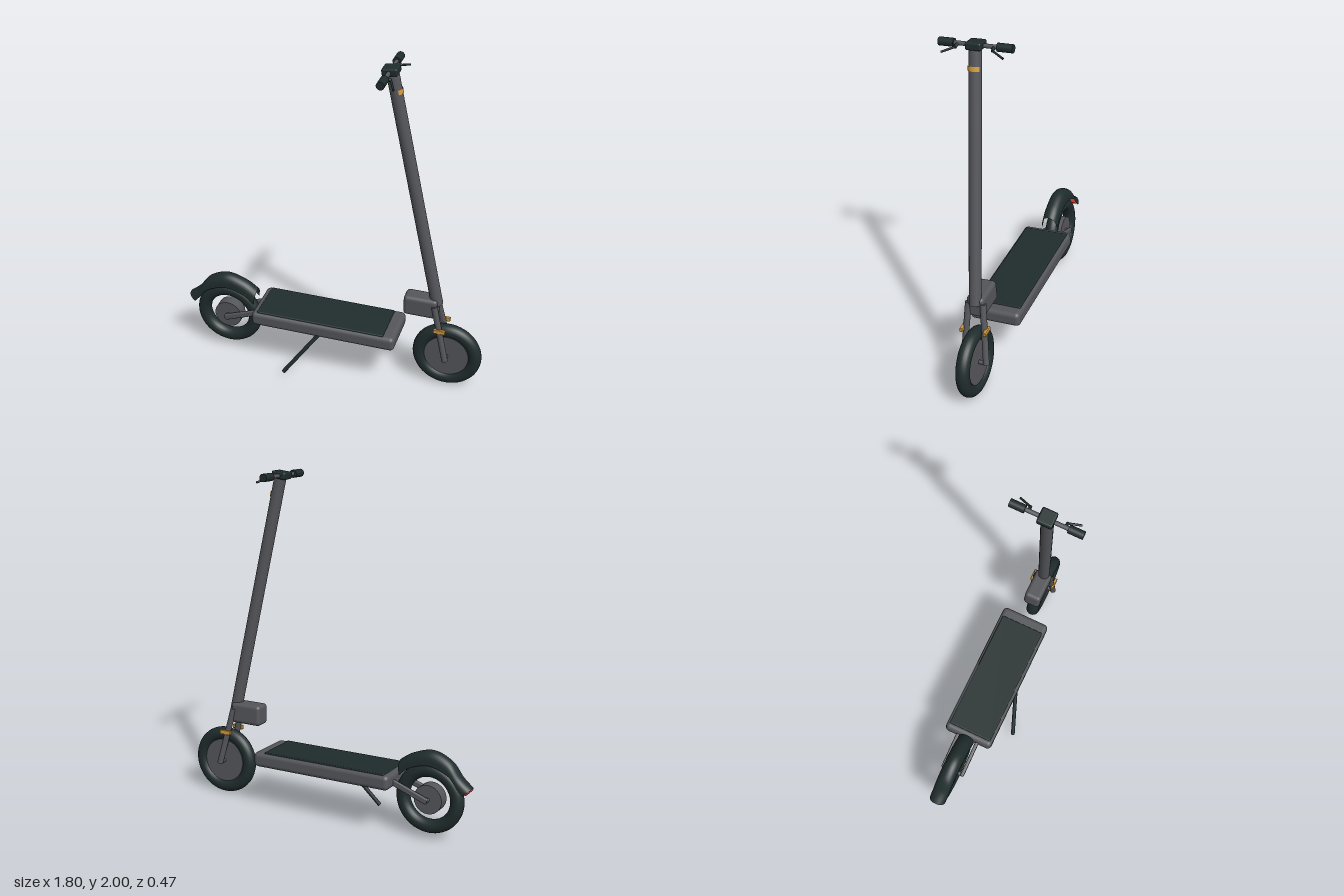
import * as THREE from 'three';
import { RoundedBoxGeometry } from 'three/addons/geometries/RoundedBoxGeometry.js';

const paint = (name, color, side = THREE.FrontSide) => {
  const m = new THREE.MeshStandardMaterial({ color, side });
  m.name = name;
  return m;
};

export function createModel() {
  const grey = paint('frameGrey', 0x55565a);
  const black = paint('rubberBlack', 0x202c2c, THREE.DoubleSide);
  const gold = paint('reflectorGold', 0xd29a3c, THREE.DoubleSide);
  const red = paint('tailLightRed', 0xc8241c);

  const scooter = new THREE.Group();
  scooter.name = 'scooter';

  const add = (name, geometry, material, x = 0, y = 0, z = 0, parent = scooter) => {
    const mesh = new THREE.Mesh(geometry, material);
    mesh.name = name;
    mesh.position.set(x, y, z);
    parent.add(mesh);
    return mesh;
  };
  const box = (w, h, d, r) => new RoundedBoxGeometry(w, h, d, 3, r);

  // Round rod between two points
  const rod = (name, a, b, radius, material, sides = 24) => {
    const from = new THREE.Vector3(...a), to = new THREE.Vector3(...b);
    const dir = to.clone().sub(from);
    const mesh = add(name, new THREE.CylinderGeometry(radius, radius, dir.length(), sides), material);
    mesh.position.copy(from).add(to).multiplyScalar(0.5);
    mesh.quaternion.setFromUnitVectors(new THREE.Vector3(0, 1, 0), dir.normalize());
    return mesh;
  };

  // Deck with grip mat
  add('deck', box(0.88, 0.088, 0.305, 0.026), grey);
  add('gripMat', box(0.78, 0.016, 0.272, 0.006), black, -0.018, 0.042, 0);

  // Wheels
  const axleY = -0.089, frontX = 0.728, rearX = -0.636;
  const wheel = (name, x, hubRadius, hubWidth) => {
    const group = new THREE.Group();
    group.name = name;
    group.position.set(x, axleY, 0);
    scooter.add(group);
    add('tyre', new THREE.TorusGeometry(0.165, 0.04, 20, 56), black, 0, 0, 0, group);
    const hub = add('hub', new THREE.CylinderGeometry(hubRadius, hubRadius, hubWidth, 40), grey, 0, 0, 0, group);
    hub.rotation.x = Math.PI / 2;
  };
  wheel('frontWheel', frontX, 0.132, 0.05);
  wheel('rearWheel', rearX, 0.085, 0.07);
  rod('frontAxle', [frontX, axleY, -0.07], [frontX, axleY, 0.07], 0.012, grey);
  rod('rearAxle', [rearX, axleY, -0.07], [rearX, axleY, 0.07], 0.012, grey);

  // Stem, with a curved reflector on its front
  const foot = [0.652, 0.25, 0], head = [0.342, 1.645, 0];
  const stem = rod('stem', foot, head, 0.035, grey, 32);
  add('stemReflector',
    new THREE.CylinderGeometry(0.039, 0.039, 0.026, 20, 1, true, Math.PI / 2 - 1, 2),
    gold, 0, 0.615, 0, stem);
  add('headBox', box(0.2, 0.125, 0.104, 0.022), grey, 0.562, 0.23, 0);

  // Fork tines, rear arms and fork reflectors on both sides
  for (const s of [1, -1]) {
    rod('forkTine', [0.645, 0.255, 0.044 * s], [frontX + 0.002, axleY - 0.006, 0.068 * s], 0.018, grey);
    add('forkReflector', box(0.07, 0.026, 0.018, 0.004), gold, 0.688, 0.106, 0.07 * s);

    const arm = add('rearArm', box(0.235, 0.036, 0.022, 0.008), grey, -0.535, -0.05, 0.064 * s);
    arm.rotation.z = 0.36;
  }

  // Rear fender: arched shell lofted between a crest line and a skirt line
  const line = pts => new THREE.SplineCurve(pts.map(p => new THREE.Vector2(...p)));
  const crest = line([[0.185, 0.2], [0.108, 0.25], [-0.01, 0.282], [-0.12, 0.238], [-0.19, 0.153], [-0.254, 0.1]]);
  const skirt = line([[0.175, 0.118], [0.11, 0.172], [-0.005, 0.203], [-0.12, 0.165], [-0.172, 0.106], [-0.21, 0.064]]);
  const along = 36, across = 14, pos = [], index = [];
  for (let i = 0; i <= along; i++) {
    const c = crest.getPoint(i / along), e = skirt.getPoint(i / along);
    for (let j = 0; j <= across; j++) {
      const a = Math.PI * j / across;
      const p = e.clone().lerp(c, Math.pow(Math.sin(a), 0.7));
      pos.push(p.x, p.y, 0.05 * Math.cos(a));
      if (i < along && j < across) {
        const k = i * (across + 1) + j, n = k + across + 1;
        index.push(k, k + 1, n, k + 1, n + 1, n);
      }
    }
  }
  const shell = new THREE.BufferGeometry();
  shell.setAttribute('position', new THREE.Float32BufferAttribute(pos, 3));
  shell.setIndex(index);
  shell.computeVertexNormals();
  add('rearFender', shell, black, rearX, axleY, 0);
  const light = add('tailLight', box(0.018, 0.034, 0.07, 0.005), red, rearX - 0.228, axleY + 0.078, 0);
  light.rotation.z = 0.8;

  // Kickstand
  rod('kickstand', [-0.02, -0.03, 0.138], [-0.211, -0.284, 0.2275], 0.012, black, 16);

  // Handlebar, grips, brake levers and display
  const barX = 0.33, barY = 1.66;
  rod('handlebar', [barX, barY, -0.2], [barX, barY, 0.2], 0.012, grey);
  for (const s of [1, -1]) {
    rod('grip', [barX, barY, 0.12 * s], [barX, barY, 0.206 * s], 0.023, black);
    rod('leverMount', [barX, barY, 0.1 * s], [barX + 0.032, barY - 0.01, 0.104 * s], 0.009, black, 12);
    rod('brakeLever', [barX + 0.028, barY - 0.008, 0.1 * s], [barX + 0.062, barY - 0.03, 0.172 * s], 0.006, black, 12);
  }
  const display = add('display', box(0.088, 0.042, 0.088, 0.01), black, barX + 0.003, barY + 0.003, 0);
  display.rotation.z = 0.12;

  // Parked pose: turned, leaning on the stand, nose slightly down
  const deg = THREE.MathUtils.degToRad;
  scooter.rotation.set(deg(3.8), deg(7.5), deg(-1.5), 'YZX');
  scooter.position.set(-0.02, 0.32, -0.03);

  const model = new THREE.Group();
  model.name = 'kickScooter';
  model.add(scooter);
  return model;
}
